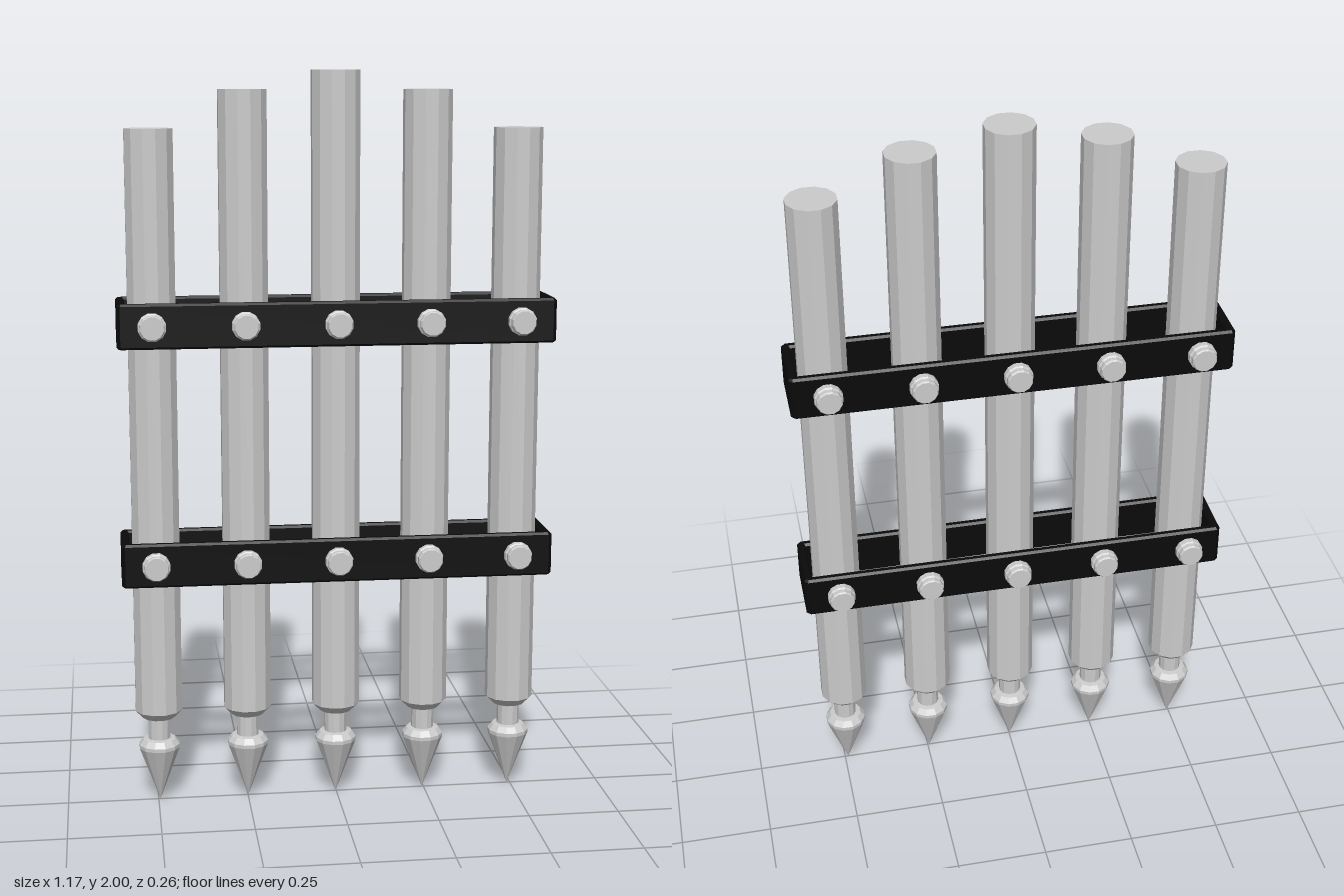
import * as THREE from 'three';

const steel = new THREE.MeshStandardMaterial({ color: 0xcccccc, flatShading: true });
const black = new THREE.MeshStandardMaterial({ color: 0x0a0a0a, flatShading: true });

const postXs = [-0.495, -0.249, -0.002, 0.245, 0.491];
const postTops = [1.85, 1.95, 2.0, 1.95, 1.85];
const bandYs = [0.695, 1.34];

function lathe(points, sides) {
  return new THREE.LatheGeometry(points.map(([r, y]) => new THREE.Vector2(r, y)), sides, Math.PI / sides);
}

// Round bar with a chamfered foot, narrow neck and pointed tip
function makePost(top) {
  const geometry = lathe([
    [0, 0], [0.057, 0.155], [0.057, 0.165], [0.045, 0.18], [0.031, 0.182],
    [0.031, 0.24], [0.045, 0.243], [0.066, 0.265], [0.066, top], [0, top],
  ], 12);
  return new THREE.Mesh(geometry, steel);
}

// Rectangle outline with cut corners
function outline(PathType, x0, x1, z0, z1, c) {
  const corners = [
    [x0 + c, z0], [x1 - c, z0], [x1, z0 + c], [x1, z1 - c],
    [x1 - c, z1], [x0 + c, z1], [x0, z1 - c], [x0, z0 + c],
  ];
  return new PathType(corners.map(([x, z]) => new THREE.Vector2(x, z)));
}

// Hollow rectangular strap around all the posts
function makeBand() {
  const bevel = 0.006, height = 0.12;
  const shape = outline(THREE.Shape, -0.583, 0.58, -0.086, 0.09, 0.006);
  shape.holes.push(outline(THREE.Path, -0.572, 0.569, -0.075, 0.079, 0.002));
  const geometry = new THREE.ExtrudeGeometry(shape, {
    depth: height - 2 * bevel, bevelEnabled: true,
    bevelSize: bevel, bevelThickness: bevel, bevelSegments: 1,
  });
  geometry.translate(0, 0, -height / 2 + bevel);
  geometry.rotateX(-Math.PI / 2);
  return new THREE.Mesh(geometry, black);
}

// Through bolt with a washer and a stepped head at both ends
function makeBolt() {
  const geometry = lathe([
    [0, -0.132], [0.031, -0.132], [0.034, -0.128], [0.034, -0.115], [0.038, -0.112],
    [0.038, 0.108], [0.034, 0.111], [0.034, 0.124], [0.031, 0.128], [0, 0.128],
  ], 12);
  geometry.rotateX(Math.PI / 2);
  return new THREE.Mesh(geometry, steel);
}

export function createModel() {
  const model = new THREE.Group();
  model.name = 'spikedFence';

  postXs.forEach((x, i) => {
    const post = makePost(postTops[i]);
    post.name = `post${i + 1}`;
    post.position.x = x;
    model.add(post);
  });

  bandYs.forEach((y, row) => {
    const level = row === 0 ? 'lower' : 'upper';
    const band = makeBand();
    band.name = `${level}Band`;
    band.position.y = y;
    model.add(band);

    postXs.forEach((x, i) => {
      const bolt = makeBolt();
      bolt.name = `${level}Bolt${i + 1}`;
      bolt.position.set(x - 0.002, y, 0);
      model.add(bolt);
    });
  });

  return model;
}
